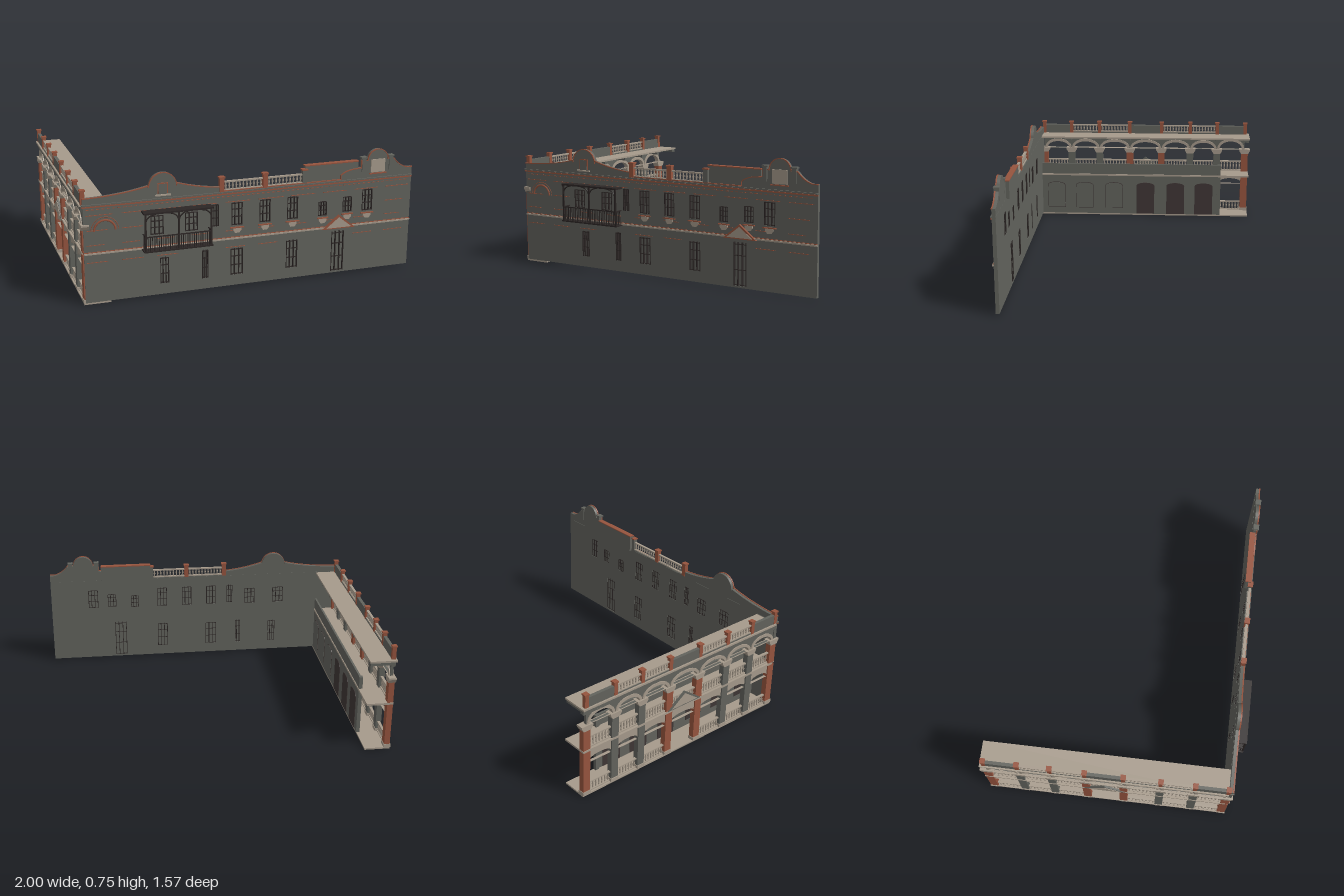
import * as THREE from 'three';
import { mergeGeometries } from 'three/addons/utils/BufferGeometryUtils.js';

const paint = (name, color) => {
  const m = new THREE.MeshStandardMaterial({ color, side: THREE.DoubleSide });
  m.name = name;
  return m;
};

export function createModel() {
  const root = new THREE.Group();
  const wall = paint('grey render', 0x62635d), pale = paint('pale stone', 0xa69a8b);
  const red = paint('red brick', 0x96543e), dark = paint('dark door', 0x3f3635);
  const iron = paint('black iron', 0x2c2625);

  const add = (name, geo, mat, parent = root) => {
    const m = new THREE.Mesh(geo, mat);
    m.name = name;
    parent.add(m);
    return m;
  };
  // Box geometry from its limits
  const span = (x0, x1, y0, y1, z0, z1) => new THREE.BoxGeometry(x1 - x0, y1 - y0, z1 - z0)
    .translate((x0 + x1) / 2, (y0 + y1) / 2, (z0 + z1) / 2);
  const box = (name, mat, ...s) => add(name, span(...s), mat);
  const extrude = (shape, depth) => new THREE.ExtrudeGeometry(shape, { depth, bevelEnabled: false, curveSegments: 14 });
  // Shape drawn in (z, y), occupying x0 - depth .. x0
  const sideways = (shape, x0, depth) => extrude(shape, depth).rotateY(-Math.PI / 2).translate(x0, 0, 0);
  const poly = pts => new THREE.Shape(pts.map(p => new THREE.Vector2(...p)));
  // Opening with a shallow curved head
  const arched = (P, c, w, y0, spring, top) => {
    const s = new P();
    s.moveTo(c - w / 2, y0);
    s.lineTo(c + w / 2, y0);
    s.lineTo(c + w / 2, spring);
    s.absellipse(c, spring, w / 2, top - spring, 0, Math.PI, false);
    s.lineTo(c - w / 2, y0);
    return s;
  };
  // Turned balusters with rails, running along x or z
  const profile = [[.002, 0], [.005, .1], [.003, .25], [.0065, .5], [.003, .8], [.006, 1]];
  const balustrade = (name, axis, a, b, fixed, y0, y1, mat = pale) => {
    const n = Math.max(3, Math.round((b - a) / .021)), list = [];
    const h = y1 - y0 - .014;
    const lathe = new THREE.LatheGeometry(profile.map(([r, y]) => new THREE.Vector2(r, y * h)), 6);
    for (let i = 0; i < n; i++) {
      const t = a + (b - a) * (i + .5) / n;
      list.push(lathe.clone().translate(axis === 'x' ? t : fixed, y0 + .006, axis === 'x' ? fixed : t));
    }
    add(name + 'Balusters', mergeGeometries(list), mat);
    for (const [p, q] of [[y0, y0 + .006], [y1 - .008, y1]])
      axis === 'x' ? box(name + 'Rail', mat, a, b, p, q, fixed - .008, fixed + .008)
        : box(name + 'Rail', mat, fixed - .008, fixed + .008, p, q, a, b);
  };

  // ---- Street wall with shaped parapet ----
  const s = new THREE.Shape();
  s.moveTo(-.985, .01);
  s.lineTo(1, .01);
  s.lineTo(1, .625);
  s.lineTo(.97, .625);
  s.quadraticCurveTo(.92, .635, .88, .685);
  s.lineTo(.84, .69);
  s.absarc(.775, .685, .065, 0, Math.PI, false);
  s.lineTo(.67, .69);
  s.lineTo(.67, .645);
  s.lineTo(.62, .64);
  s.quadraticCurveTo(.57, .635, .54, .61);
  s.lineTo(.54, .585);
  s.lineTo(-.2, .585);
  s.lineTo(-.2, .61);
  s.quadraticCurveTo(-.33, .62, -.455, .66);
  s.absarc(-.535, .645, .08, 0, Math.PI, false);
  s.lineTo(-.62, .655);
  s.quadraticCurveTo(-.77, .618, -.985, .615);
  const outline = s.getPoints(12);

  // Windows: centre, width, bottom, top
  const windows = [
    [-.57, .075, .37, .485], [-.37, .075, .37, .485], [-.23, .04, .38, .515], [-.1, .066, .375, .515],
    [.07, .066, .375, .515], [.24, .066, .375, .515], [.43, .052, .375, .465], [.587, .058, .385, .48],
    [.715, .066, .38, .515], [-.53, .05, .075, .235], [-.29, .036, .075, .25], [-.1, .075, .075, .24],
    [.24, .07, .075, .25], [.532, .08, .02, .275]];
  const bars = [], panes = [];
  for (const [c, w, y0, y1] of windows) {
    s.holes.push(arched(THREE.Path, c, w, y0, y1 - .012, y1));
    panes.push(span(c - w / 2, c + w / 2, y0, y1, .705, .713));
    for (const k of [-.47, -.17, .17, .47]) bars.push(span(c + k * w - .002, c + k * w + .002, y0, y1 - .006, .702, .726));
    for (const k of [.02, .36, .68, .93]) {
      const y = y0 + k * (y1 - y0);
      bars.push(span(c - w / 2, c + w / 2, y - .0015, y + .0015, .702, .725));
    }
  }
  add('streetWall', extrude(s, .022).translate(0, 0, .701), wall);
  add('windowPanes', mergeGeometries(panes), wall);
  add('windowBars', mergeGeometries(bars), iron);

  // Red edging along the parapet outline
  const edging = [];
  for (let i = 1; i < outline.length; i++) {
    const a = outline[i - 1], b = outline[i];
    if (Math.min(a.y, b.y) < .58) continue;
    const d = b.clone().sub(a);
    edging.push(new THREE.BoxGeometry(d.length() + .002, .005, .008).rotateZ(Math.atan2(d.y, d.x))
      .translate((a.x + b.x) / 2, (a.y + b.y) / 2, .723));
  }
  add('parapetEdging', mergeGeometries(edging), red);

  // Cornice, string courses and broken brick lines
  box('cornice', wall, -.99, 1, .572, .58, .7, .731);
  box('corniceLine', red, -.99, 1, .563, .571, .72, .729);
  box('stringCourse', pale, -.985, 1, .293, .302, .72, .731);
  box('stringLine', red, -.985, 1, .303, .307, .72, .728);
  const dashes = [];
  for (const [y, step, fill] of [[.55, .03, .6], [.517, .2, .75], [.43, .2, .6], [.345, .2, .5], [.245, .2, .6]])
    for (let x = -.97; x + step * fill < .99; x += step)
      if (!windows.some(([c, w, a, b]) => y > a && y < b && x < c + w / 2 && x + step * fill > c - w / 2))
        dashes.push(span(x, x + step * fill, y - .0018, y + .0018, .72, .7255));
  add('brickLines', mergeGeometries(dashes), red);

  // Sills and keystones at the upper windows
  for (const [c, w, y0] of windows.slice(3, 9)) {
    box('windowSill', red, c - w / 2 - .008, c + w / 2 + .008, y0 - .016, y0 - .01, .72, .733);
    add('sillOrnament', extrude(poly([[c - .024, y0 - .03], [c - .012, y0 - .045], [c + .012, y0 - .045],
      [c + .024, y0 - .03], [c + .024, y0 - .017], [c - .024, y0 - .017]]), .01).translate(0, 0, .72), pale);
  }
  // Blind arch at the corner
  add('cornerArch', new THREE.TorusGeometry(.06, .006, 4, 16, Math.PI).translate(-.865, .425, .723), red);
  add('cornerArchOuter', new THREE.TorusGeometry(.078, .002, 4, 16, Math.PI).translate(-.865, .425, .723), red);

  // Gable niches
  for (const [x0, x1, y0, y1] of [[-.565, -.505, .605, .667]]) {
    box('nicheFrame', red, x0, x1, y0, y1, .72, .727);
    box('niche', wall, x0 + .006, x1 - .006, y0, y1 - .006, .72, .729);
    box('nicheSill', pale, x0 - .015, x1 + .015, y0 - .012, y0 - .004, .72, .733);
  }
  box('gablePanel', pale, .73, .82, .612, .69, .72, .729);
  box('gablePanelSill', red, .72, .83, .602, .608, .72, .733);
  for (const x of [.685, .86]) {
    box('gablePost', wall, x - .013, x + .013, .62, .7, .7, .73);
    box('gablePostCap', wall, x - .018, x + .018, .7, .709, .698, .733);
  }

  // Solid parapet block and open balustrade
  box('parapetBlock', wall, .32, .655, .575, .68, .682, .712);
  box('parapetBlockCap', red, .318, .657, .68, .686, .68, .714);
  for (const x of [-.19, .07, .312]) {
    box('parapetPost', x > .3 ? wall : red, x - .014, x + .014, .58, .66, .7, .727);
    box('parapetPostCap', red, x - .018, x + .018, .66, .668, .697, .73);
  }
  balustrade('parapet', 'x', -.176, .056, .713, .585, .64);
  balustrade('parapet', 'x', .084, .3, .713, .585, .64);

  // Pediment over the door
  const tri = (c, w, y0, y1) => poly([[c - w, y0], [c + w, y0], [c, y1]]);
  add('doorPedimentTrim', extrude(tri(.533, .105, .288, .372), .012).translate(0, 0, .722), red);
  add('doorPediment', extrude(tri(.533, .08, .295, .358), .015).translate(0, 0, .722), pale);

  // ---- Iron balcony ----
  const balcony = new THREE.Group();
  balcony.name = 'balcony';
  root.add(balcony);
  const rails = [span(-.66, -.26, .288, .296, .723, .785), span(-.66, -.26, .508, .518, .723, .785),
    span(-.655, -.265, .375, .381, .777, .783)];
  for (const x of [-.65, -.46, -.27]) rails.push(span(x - .005, x + .005, .29, .512, .775, .783));
  for (let i = 1; i < 30; i++) {
    const x = -.65 + .38 * i / 30;
    rails.push(span(x - .0018, x + .0018, .29, .378, .778, .782));
  }
  for (const x of [-.65, -.27]) {
    rails.push(span(x - .003, x + .003, .375, .381, .723, .78));
    for (const z of [.735, .75, .765]) rails.push(span(x - .002, x + .002, .29, .378, z - .002, z + .002));
  }
  add('balconyIronwork', mergeGeometries(rails), iron, balcony);
  for (const [x, d] of [[-.65, 1], [-.46, -1], [-.46, 1], [-.27, -1]]) {
    const curve = new THREE.QuadraticBezierCurve3(new THREE.Vector3(x, .455, .779),
      new THREE.Vector3(x + d * .005, .505, .779), new THREE.Vector3(x + d * .06, .508, .779));
    add('balconyBracket', new THREE.TubeGeometry(curve, 8, .004, 5), iron, balcony);
  }

  // ---- Arcaded wing ----
  box('groundSlab', pale, -.992, -.84, 0, .01, -.775, .722);
  box('upperFloor', pale, -.995, -.836, .293, .305, -.775, .7);
  box('roofSlab', pale, -1, -.84, .565, .576, -.777, .7);
  box('roofBeam', wall, -.99, -.965, .535, .566, -.77, .7);
  const piers = [.695, .5, .298, .078, -.15, -.357, -.55, -.749];
  piers.forEach((z, i) => {
    const m = [0, 3, 4, 7].includes(i) ? red : wall;
    box('lowerPier', m, -.992, -.958, .01, .293, z - .024, z + .024);
    box('upperPier', m, -.992, -.958, .305, .44, z - .024, z + .024);
    box('pierBase', pale, -.996, -.955, .01, .03, z - .027, z + .027);
    add('pierCapital', sideways(poly([[z - .025, .435], [z + .025, .435], [z + .038, .458], [z + .038, .468],
      [z - .038, .468], [z - .038, .458]]), -.953, .045), pale);
    box('roofPost', red, -.992, -.968, .576, .652, z - .012, z + .012);
    box('roofPostCap', red, -.996, -.964, .652, .66, z - .016, z + .016);
    if (i) box('crossBeam', wall, -.965, -.845, .548, .565, z - .012, z + .012);
  });
  for (let i = 0; i < 7; i++) {
    const a = piers[i + 1], b = piers[i], c = (a + b) / 2, w = b - a;
    const top = i === 6 ? .525 : .513;
    // Upper arch: spandrel wall and pale ring
    const sp = poly([[a, .466], [b, .466], [b, .55], [a, .55]]);
    sp.holes.push(arched(THREE.Path, c, w - .036, .467, .468, top));
    add('archSpandrel', sideways(sp, -.968, .016), wall);
    const ring = arched(THREE.Shape, c, w - .004, .466, .467, top + .019);
    ring.holes.push(arched(THREE.Path, c, w - .038, .467, .468, top));
    add('archRing', sideways(ring, -.962, .028), pale);
    // Lower flat arch
    const low = poly([[a, .21], [b, .21], [b, .294], [a, .294]]);
    low.holes.push(arched(THREE.Path, c, w - .045, .2101, .222, .25));
    add('lowerArch', sideways(low, -.966, .018), pale);
    // Balustrades
    balustrade('gallery', 'z', a + .024, b - .024, -.975, .308, .38);
    if (i !== 3) balustrade('ground', 'z', a + .024, b - .024, -.975, .012, .076);
    if ([1, 2, 4, 5].includes(i)) {
      box('roofParapetBase', wall, -.99, -.97, .576, .584, a, b);
      balustrade('roof', 'z', a + .012, b - .012, -.98, .584, .636);
    } else box('roofParapet', wall, -.99, -.97, .576, .635, a, b);
  }
  box('endBeam', wall, -.985, -.845, .545, .566, -.77, -.755);
  // Wing pediment on the outer face
  add('wingPedimentTrim', sideways(tri(-.036, .125, .305, .395), -.985, .012), wall);
  add('wingPediment', sideways(tri(-.036, .098, .312, .382), -.985, .015), pale);

  // Inner wall with blind windows and doors
  box('innerWall', wall, -.852, -.84, .01, .38, -.555, .702);
  box('innerWallEnd', wall, -.86, -.838, .01, .38, -.577, -.553);
  [.6, .397, .185, -.04, -.255, -.457].forEach((z, i) => {
    const door = i > 2, y0 = door ? .012 : .052, w = door ? .128 : .124;
    add(door ? 'galleryDoor' : 'blindWindowFrame', sideways(arched(THREE.Shape, z, w, y0, .222, .244), -.837, .018), dark);
    if (!door) add('blindWindow', sideways(arched(THREE.Shape, z, w - .006, y0 + .003, .22, .241), -.8355, .005), wall);
  });
  return root;
}
